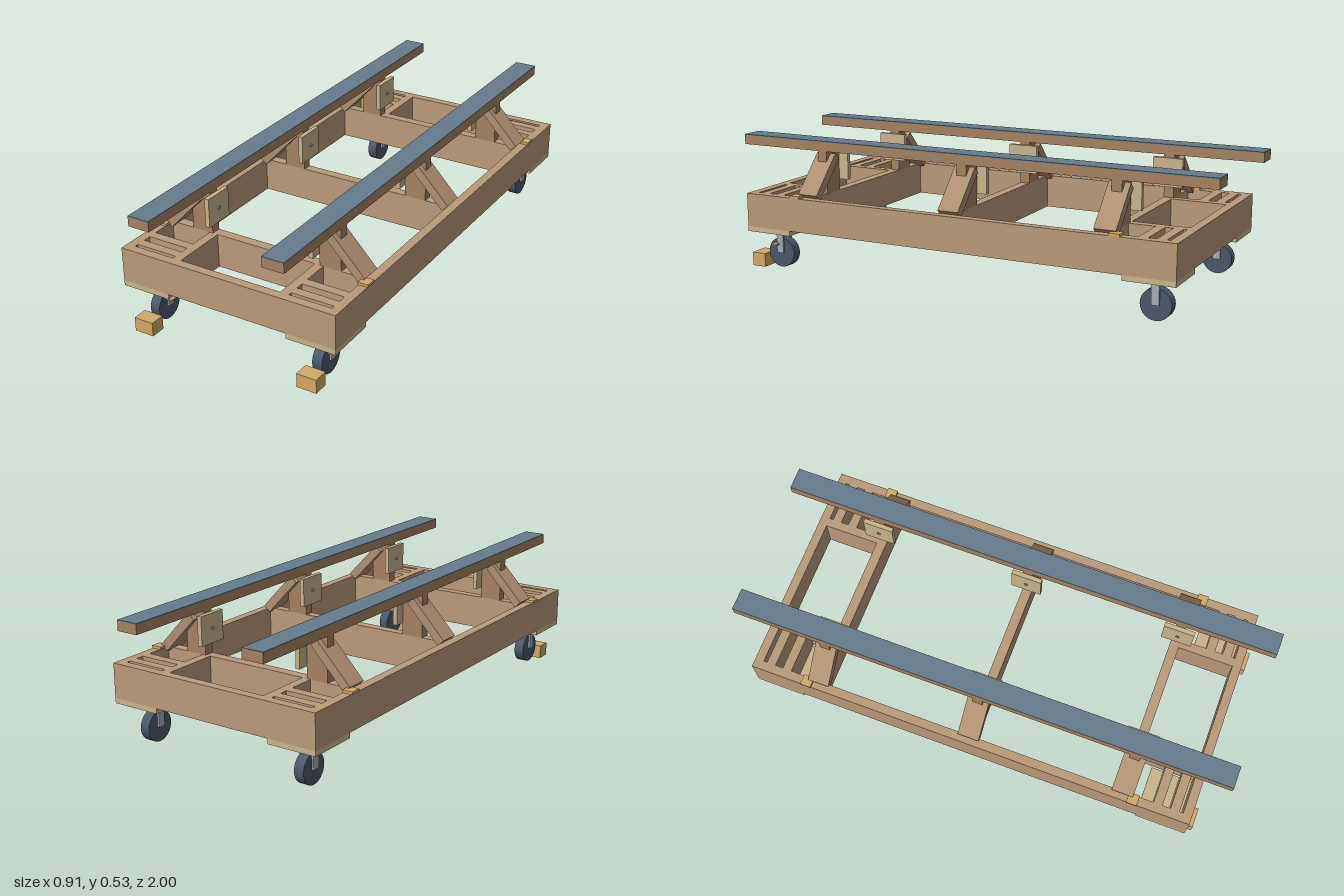
import * as THREE from 'three';

const mat = (color) => new THREE.MeshStandardMaterial({ color });

export function createModel() {
  const root = new THREE.Group();
  const wood = mat(0xb89a7a), postWood = mat(0xa58160), braceWood = mat(0xae8f70);
  const ply = mat(0xc8b48c), pad = mat(0x667b8b), rubber = mat(0x4a5868);
  const steel = mat(0xa5adb8), amber = mat(0xd2a866);

  const add = (parent, name, geometry, material) => {
    const mesh = new THREE.Mesh(geometry, material);
    mesh.name = name;
    parent.add(mesh);
    return mesh;
  };
  // box from its lower and upper limits on each axis
  const box = (parent, name, material, x0, x1, y0, y1, z0, z1) => {
    const mesh = add(parent, name, new THREE.BoxGeometry(x1 - x0, y1 - y0, z1 - z0), material);
    mesh.position.set((x0 + x1) / 2, (y0 + y1) / 2, (z0 + z1) / 2);
    return mesh;
  };
  // box placed by centre and size
  const block = (parent, name, material, x, y, z, w, h, d) =>
    box(parent, name, material, x - w / 2, x + w / 2, y - h / 2, y + h / 2, z - d / 2, z + d / 2);

  const bottom = 0.18, top = 0.315, mid = (top + bottom) / 2, deep = top - bottom;
  const stations = [-0.625, 0, 0.625];

  // base frame
  const frame = new THREE.Group();
  frame.name = 'baseFrame';
  root.add(frame);
  for (const s of [-1, 1]) {
    block(frame, 'sideBeam', wood, s * 0.4325, mid, 0, 0.035, deep, 1.8);
    block(frame, 'endBeam', wood, 0, mid, s * 0.8825, 0.83, deep, 0.035);
  }
  for (const z of stations) block(frame, 'crossBeam', wood, 0, mid, z, 0.83, deep, 0.038);

  // reinforced corners
  for (const sx of [-1, 1]) for (const sz of [-1, 1]) {
    block(frame, 'cornerStringer', wood, sx * 0.2275, mid, sz * 0.755, 0.035, deep, 0.222);
    for (const z of [0.765, 0.8325])
      block(frame, 'cornerBlocking', wood, sx * 0.33, mid, sz * z, 0.17, deep, 0.036);
    block(frame, 'casterBoard', ply, sx * 0.35, 0.17, sz * 0.8, 0.2, 0.02, 0.2);
    block(frame, 'cornerLatch', amber, sx * 0.4325, 0.32, sz * 0.67, 0.042, 0.01, 0.042);
  }

  // casters
  const makeCaster = (braked) => {
    const g = new THREE.Group();
    g.name = 'caster';
    block(g, 'mountPlate', steel, 0, 0.1585, 0, 0.11, 0.005, 0.11);
    add(g, 'swivel', new THREE.CylinderGeometry(0.022, 0.022, 0.012, 20), steel).position.y = 0.152;
    block(g, 'forkCrown', steel, 0, 0.14, 0, 0.06, 0.018, 0.03);
    for (const s of [-1, 1]) block(g, 'forkLeg', steel, s * 0.026, 0.107, 0, 0.008, 0.085, 0.03);
    const wheel = add(g, 'wheel', new THREE.CylinderGeometry(0.06, 0.06, 0.04, 28), rubber);
    wheel.rotation.z = Math.PI / 2;
    wheel.position.y = 0.065;
    const axle = add(g, 'axle', new THREE.CylinderGeometry(0.008, 0.008, 0.058, 12), steel);
    axle.rotation.z = Math.PI / 2;
    axle.position.y = 0.072;
    if (braked) block(g, 'brakeTab', amber, 0.039, 0.101, 0.015, 0.032, 0.006, 0.025);
    return g;
  };
  for (const sx of [-1, 1]) for (const sz of [-1, 1]) {
    const caster = makeCaster(sz > 0);
    caster.position.set(sx * 0.35, 0, sz * 0.8);
    root.add(caster);
  }

  // chocks in front of the front wheels
  for (const s of [-1, 1]) block(root, 'wheelChock', amber, s * 0.35, 0.0275, 0.9, 0.08, 0.055, 0.06);

  // support rails with posts, braces and bolted plates
  for (const s of [-1, 1]) {
    const side = new THREE.Group();
    side.name = s > 0 ? 'leftSupport' : 'rightSupport';
    root.add(side);
    block(side, 'rail', postWood, s * 0.275, 0.5035, 0, 0.088, 0.037, 2);
    block(side, 'railPad', pad, s * 0.275, 0.524, 0, 0.088, 0.004, 2);
    for (const z of stations) {
      block(side, 'post', postWood, s * 0.275, 0.4, z, 0.088, 0.17, 0.04);
      const a = [0.277, 0.4625], b = [0.415, 0.3165];
      const brace = add(side, 'brace',
        new THREE.BoxGeometry(Math.hypot(b[0] - a[0], b[1] - a[1]), 0.035, 0.085), braceWood);
      brace.position.set(s * (a[0] + b[0]) / 2, (a[1] + b[1]) / 2, z);
      brace.rotation.z = s * Math.atan2(b[1] - a[1], b[0] - a[0]);
      block(side, 'gussetPlate', ply, s * 0.221, 0.418, z, 0.018, 0.115, 0.122);
      const bolt = add(side, 'bolt', new THREE.CylinderGeometry(0.007, 0.007, 0.006, 12), steel);
      bolt.rotation.z = Math.PI / 2;
      bolt.position.set(s * 0.211, 0.418, z);
    }
  }
  return root;
}
